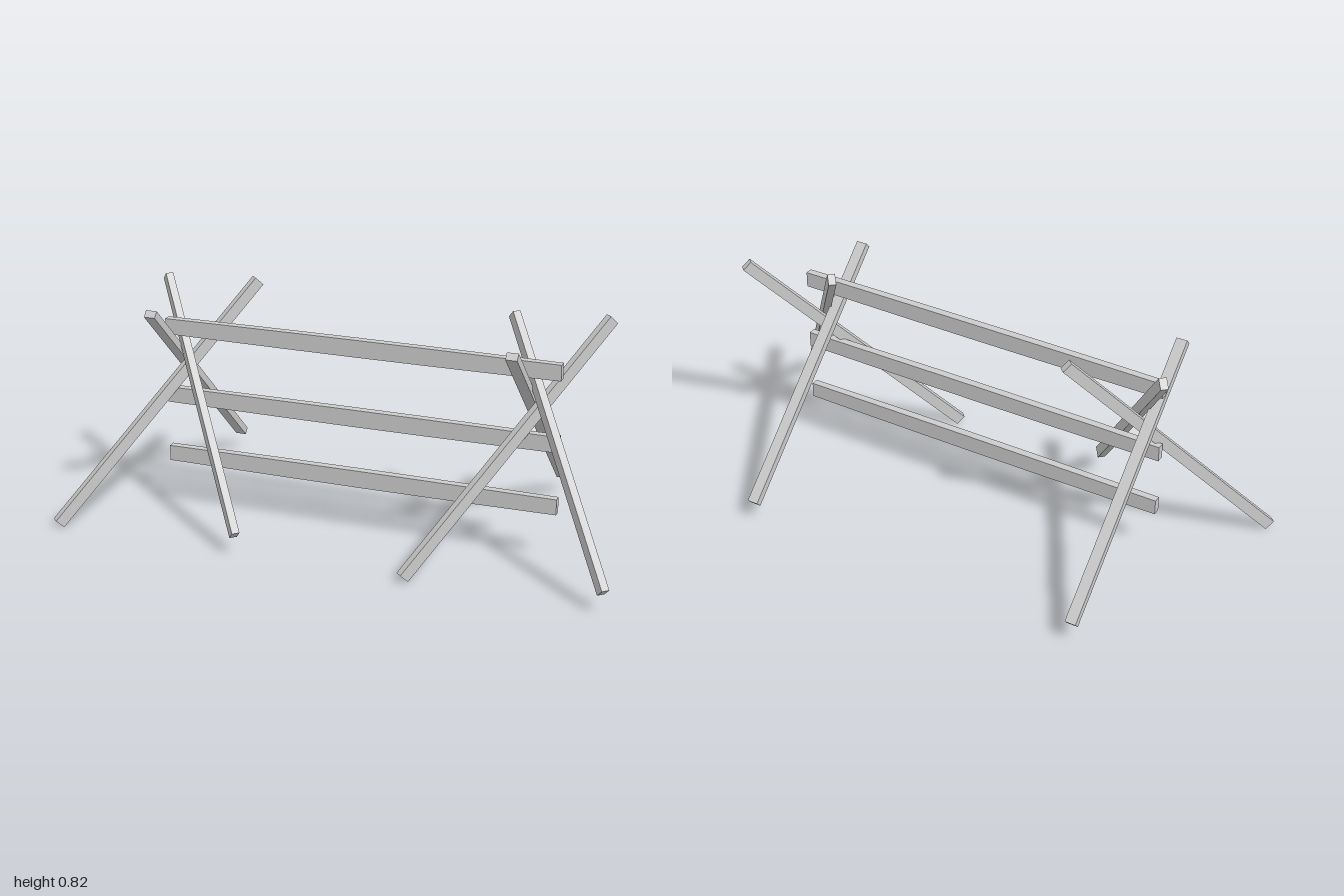
import * as THREE from 'three';

const material = new THREE.MeshStandardMaterial({ color: 0xcccccc, flatShading: true });

// Square-cut pole between two points; width is its level side, depth the other
function pole(name, from, to, width, depth) {
  const a = new THREE.Vector3(...from);
  const b = new THREE.Vector3(...to);
  const along = b.clone().sub(a);
  const length = along.length();
  along.normalize();
  const level = new THREE.Vector3().crossVectors(along, new THREE.Vector3(0, 1, 0)).normalize();
  const across = new THREE.Vector3().crossVectors(level, along);
  const mesh = new THREE.Mesh(new THREE.BoxGeometry(width, length, depth), material);
  mesh.name = name;
  mesh.quaternion.setFromRotationMatrix(new THREE.Matrix4().makeBasis(level, along, across));
  mesh.position.copy(a).add(b).multiplyScalar(0.5);
  return mesh;
}

// Three crossed poles, placed around x
function tripod(name, x) {
  const group = new THREE.Group();
  group.name = name;
  group.position.x = x;
  group.add(
    pole('backLeg', [0, 0.075, -0.459], [0, 0.771, 0.281], 0.04, 0.027),
    pole('rightLeg', [-0.308, 0.016, 0.446], [0.234, 0.806, -0.107], 0.027, 0.04),
    pole('leftLeg', [0.369, 0.076, 0.451], [-0.085, 0.809, -0.043], 0.027, 0.04),
  );
  return group;
}

// Rough-hewn rail, swelling slightly towards its middle
function rail(name, y) {
  const length = 1.425;
  const geometry = new THREE.BoxGeometry(length, 0.056, 0.027, 6, 1, 1);
  const p = geometry.attributes.position;
  for (let i = 0; i < p.count; i++) {
    const swell = 1 + 0.1 * Math.cos((p.getX(i) / length) * Math.PI);
    p.setY(i, p.getY(i) * swell);
    p.setZ(i, p.getZ(i) * swell);
  }
  geometry.computeVertexNormals();
  const mesh = new THREE.Mesh(geometry, material);
  mesh.name = name;
  mesh.position.set(0.018, y, 0.11);
  return mesh;
}

export function createModel() {
  const group = new THREE.Group();
  group.name = 'fence';
  group.add(tripod('rightTripod', -0.672), tripod('leftTripod', 0.606));
  group.add(rail('topRail', 0.677), rail('middleRail', 0.424), rail('bottomRail', 0.2));
  return group;
}
